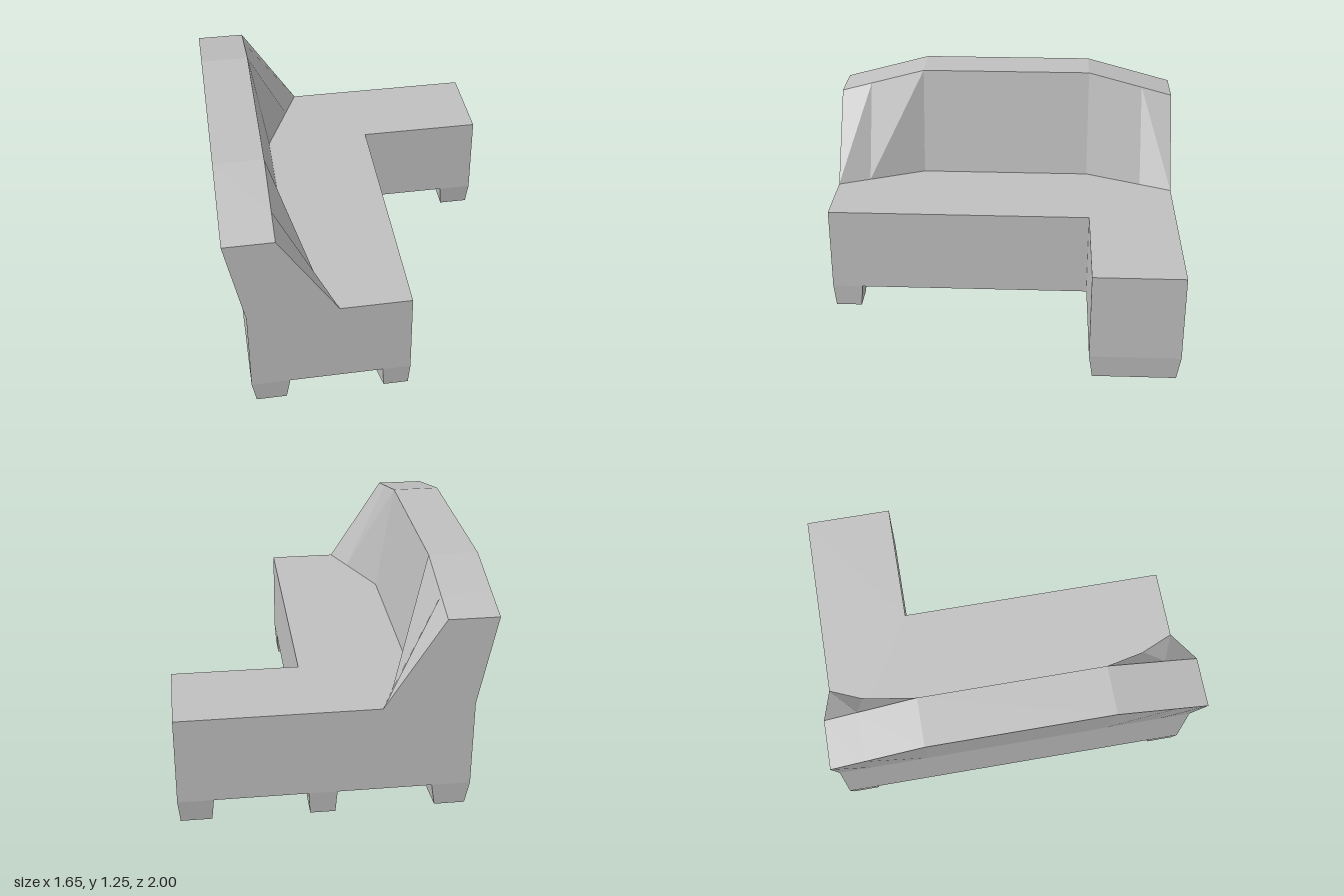
import * as THREE from 'three';

const fabric = new THREE.MeshStandardMaterial({ color: 0xbfbfbf });
fabric.name = 'grey fabric';

const LEG_TOP = 0.132, SEAT_TOP = 0.62;

function part(name, geometry) {
  const flat = geometry.index ? geometry.toNonIndexed() : geometry;
  flat.computeVertexNormals();
  const mesh = new THREE.Mesh(flat, fabric);
  mesh.name = name;
  return mesh;
}

// L-shaped seat block, drawn in plan (shape y = -z) and raised
function seatGeometry() {
  const plan = [[-0.73, -1], [0.135, -1], [0.135, 0.505], [0.822, 0.505], [0.822, 1], [-0.73, 1]];
  const shape = new THREE.Shape(plan.map(([x, y]) => new THREE.Vector2(x, y)));
  const g = new THREE.ExtrudeGeometry(shape, { depth: SEAT_TOP - LEG_TOP, bevelEnabled: false });
  return g.rotateX(-Math.PI / 2).translate(0, LEG_TOP, 0);
}

// Backrest lofted along z: it sinks and thickens toward both ends
function backrestGeometry() {
  const sections = [-1, -0.82, -0.5, 0.5, 0.82, 1].map((z) => {
    const t = (Math.abs(z) - 0.5) / 0.5;
    const top = THREE.MathUtils.lerp(1.245, 1.11, t);
    const foot = THREE.MathUtils.lerp(-0.463, -0.248, t);
    return [[foot, SEAT_TOP], [-0.56, top], [-0.825, top], [-0.73, SEAT_TOP]]
      .map(([x, y]) => [x, y, z]);
  });
  const pos = [];
  const tri = (...corners) => corners.forEach((c) => pos.push(...c));
  for (let s = 0; s < sections.length - 1; s++) {
    const lo = sections[s], hi = sections[s + 1];
    for (let i = 0; i < 3; i++) {
      const a = lo[i], b = lo[i + 1], c = hi[i + 1], d = hi[i];
      // mirror the fold direction between the two ends
      if (s >= 3) { tri(a, b, d); tri(b, c, d); }
      else { tri(a, b, c); tri(a, c, d); }
    }
  }
  // end faces
  const [p, q, r, u] = sections[0];
  tri(p, r, q); tri(p, u, r);
  const [e, f, g, h] = sections[5];
  tri(e, f, g); tri(e, g, h);
  const geo = new THREE.BufferGeometry();
  geo.setAttribute('position', new THREE.Float32BufferAttribute(pos, 3));
  return geo;
}

// Tapered leg: box narrowed at the floor, with its inner corner skewed in x
function legGeometry([x0, x1, z0, z1, insetX, insetZ, skew]) {
  const g = new THREE.BoxGeometry(x1 - x0, LEG_TOP, z1 - z0);
  const p = g.attributes.position;
  const cx = (x0 + x1) / 2, cz = (z0 + z1) / 2;
  for (let i = 0; i < p.count; i++) {
    const sx = Math.sign(p.getX(i)), sz = Math.sign(p.getZ(i)), low = p.getY(i) < 0;
    const innerCorner = sz * cz < 0 && sx === Math.sign(skew);
    p.setX(i, p.getX(i) - (low ? sx * insetX : 0) + (innerCorner ? skew : 0));
    p.setZ(i, p.getZ(i) - (low ? sz * insetZ : 0));
  }
  return g.translate(cx, LEG_TOP / 2, cz);
}

export function createModel() {
  const model = new THREE.Group();
  model.name = 'cornerSofa';
  model.add(part('seat', seatGeometry()), part('backrest', backrestGeometry()));

  // x0, x1, z0, z1, insetX, insetZ, skew
  const legs = {
    frontBackrestLeg: [-0.73, -0.522, 0.825, 1, 0.022, 0.012, 0.008],
    rearBackrestLeg: [-0.73, -0.522, -1, -0.825, 0.022, 0.012, 0.008],
    frontSeatLeg: [-0.018, 0.135, 0.825, 1, 0.009, 0.012, -0.03],
    rearSeatLeg: [-0.018, 0.135, -1, -0.825, 0.009, 0.012, -0.03],
    chaiseLeg: [0.632, 0.822, -1, -0.505, 0.012, 0.02, 0],
  };
  for (const [name, spec] of Object.entries(legs)) model.add(part(name, legGeometry(spec)));
  return model;
}
